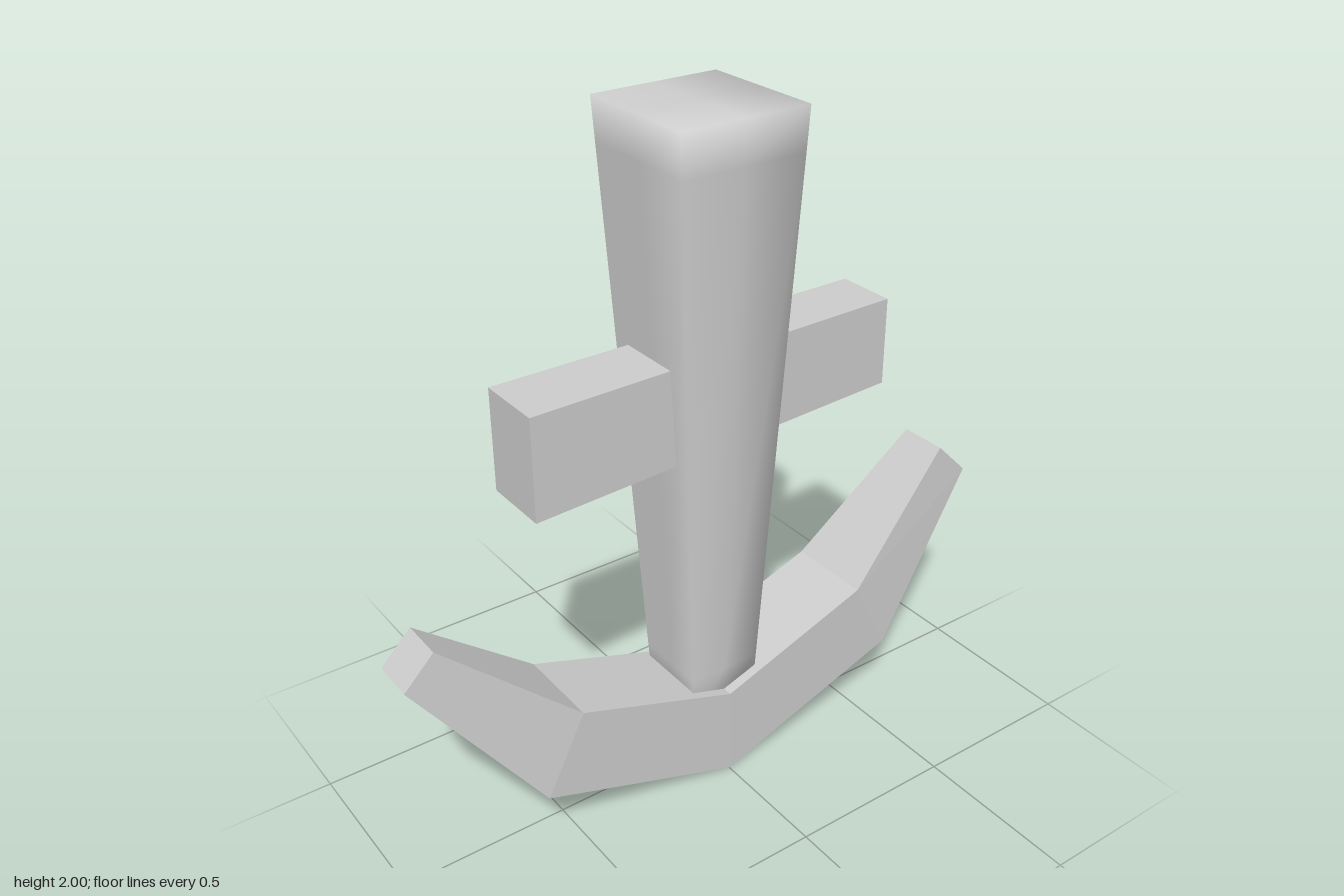
import * as THREE from 'three';
import { mergeVertices, mergeGeometries } from 'three/addons/utils/BufferGeometryUtils.js';

const grey = new THREE.MeshStandardMaterial({ color: 0xcccccc, side: THREE.DoubleSide });
grey.name = 'grey';

// Flat-shaded tube through four-cornered sections; optionally capped, optionally without one side
function loft(sections, skipSide = -1) {
  const pos = [];
  const quad = (a, b, c, d) => [a, b, c, a, c, d].forEach((p) => pos.push(...p));
  for (let i = 0; i < sections.length - 1; i++) {
    const s = sections[i], t = sections[i + 1];
    for (let k = 0; k < 4; k++) {
      if (k === skipSide) continue;
      const n = (k + 1) % 4;
      quad(s[k], t[k], t[n], s[n]);
    }
  }
  quad(...sections[0]);
  quad(...[...sections[sections.length - 1]].reverse());
  const g = new THREE.BufferGeometry();
  g.setAttribute('position', new THREE.Float32BufferAttribute(pos, 3));
  g.computeVertexNormals();
  return g;
}

// Section corners: lower front, lower back, upper back, upper front
const section = ([lx, ly], [ux, uy], front, back) =>
  [[lx, ly, front], [lx, ly, back], [ux, uy, back], [ux, uy, front]];

// Tapered square shank: soft shading everywhere but a flat back
function shankGeometry() {
  const rows = [0.22, 0.36, 1.88, 2];
  const box = new THREE.BoxGeometry(2, 3, 2, 2, 3, 2);
  const p = box.attributes.position;
  for (let i = 0; i < p.count; i++) {
    const y = rows[Math.round(p.getY(i) + 1.5)];
    const t = (y - 0.22) / 1.78;
    const half = 0.107 + 0.083 * t;
    p.setXYZ(i, p.getX(i) * half - 0.008 * t, y, p.getZ(i) * half);
  }
  box.deleteAttribute('uv');
  box.deleteAttribute('normal');
  const index = Array.from(box.index.array);
  const backStart = box.groups[5].start;
  const parts = [index.slice(0, backStart), index.slice(backStart)].map((part) => {
    const g = box.clone();
    g.clearGroups();
    g.setIndex(part);
    const merged = mergeVertices(g);
    merged.computeVertexNormals();
    return merged;
  });
  return mergeGeometries(parts);
}

export function createModel() {
  const model = new THREE.Group();
  model.name = 'anchor';
  const add = (name, geometry) => {
    const mesh = new THREE.Mesh(geometry, grey);
    mesh.name = name;
    model.add(mesh);
  };

  add('shank', shankGeometry());

  // Crossbar, open underneath
  add('crossbar', loft([
    section([-0.58, 1.06], [-0.58, 1.355], 0.1, -0.1),
    section([0.585, 1.095], [0.585, 1.355], 0.075, -0.105),
  ], 0));

  // Curved arms, thinning toward the tips
  add('arms', loft([
    section([-0.96, 0.68], [-0.87, 0.77], 0.06, -0.07),
    section([-0.61, 0.2], [-0.49, 0.44], 0.13, -0.135),
    section([0, 0], [0, 0.28], 0.14, -0.13),
    section([0.6, 0.21], [0.48, 0.45], 0.14, -0.125),
    section([0.95, 0.69], [0.84, 0.8], 0.085, -0.065),
  ]));

  return model;
}
